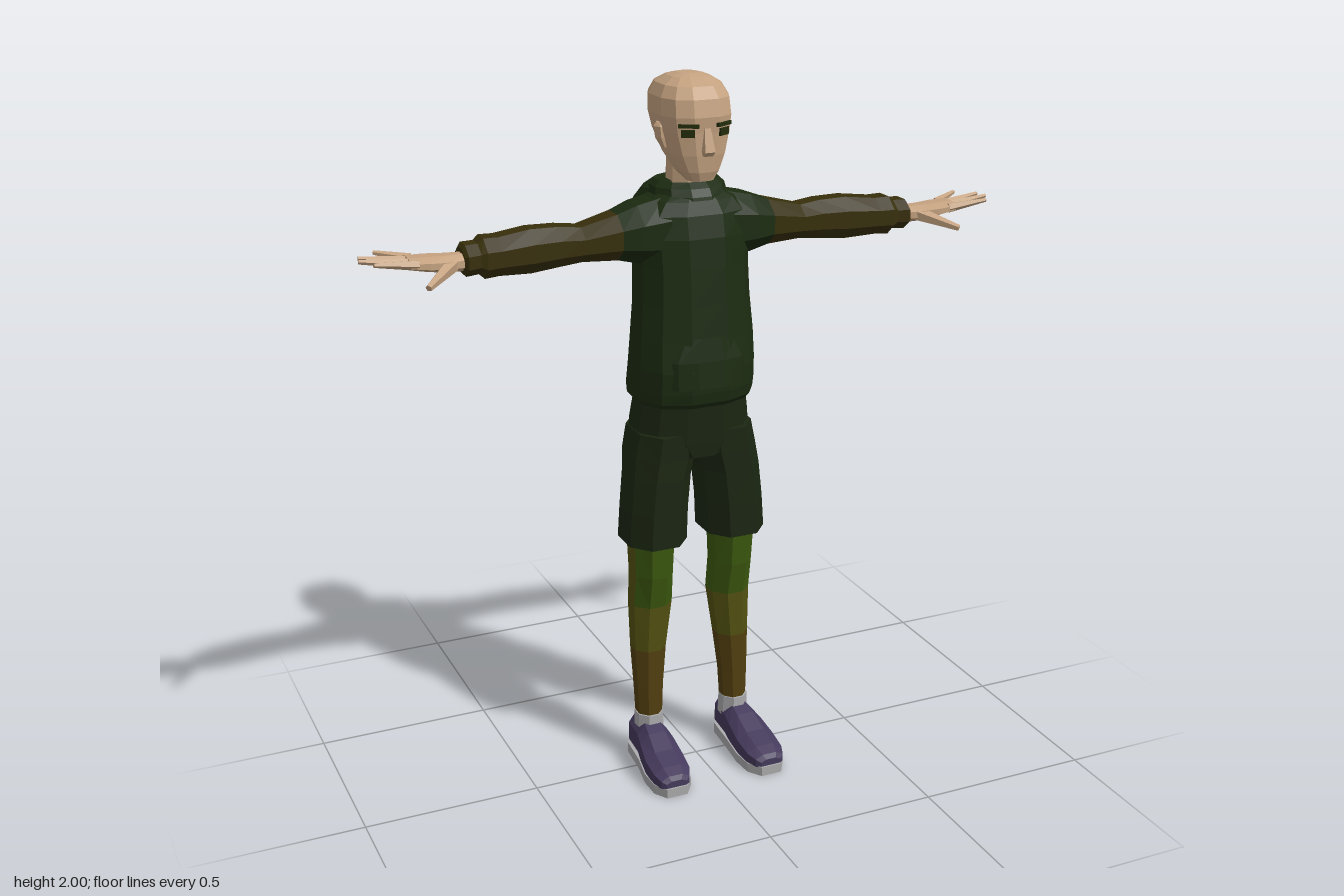
import * as THREE from 'three';

const mat = (name, color) => Object.assign(new THREE.MeshStandardMaterial({ color }), { name });

// Faceted loft. Each section is [t, u0, u1, v0, v1], the bounds of a ring at t.
// Axis x: u = y, v = z. Axis y: u = z, v = x. Axis z: u = x, v = y.
// pick(section, side) may choose a material index for each side face.
function loft(axis, sections, n = 8, power = 1, pick = null) {
  const place = {
    x: (t, u, v) => [t, u, v],
    y: (t, u, v) => [v, t, u],
    z: (t, u, v) => [u, v, t],
  }[axis];
  const bend = (c) => Math.sign(c) * Math.abs(c) ** power;
  const max = bend(Math.cos(Math.PI / n));
  const rings = sections.map(([t, u0, u1, v0, v1]) =>
    Array.from({ length: n }, (_, j) => {
      const a = ((j + 0.5) / n) * Math.PI * 2;
      return place(t,
        (u0 + u1) / 2 + ((u1 - u0) / 2) * bend(Math.cos(a)) / max,
        (v0 + v1) / 2 + ((v1 - v0) / 2) * bend(Math.sin(a)) / max);
    }));
  const pos = [];
  const geo = new THREE.BufferGeometry();
  for (let i = 0; i < rings.length - 1; i++) {
    for (let j = 0; j < n; j++) {
      const k = (j + 1) % n;
      const [a, b, c, d] = [rings[i][j], rings[i][k], rings[i + 1][k], rings[i + 1][j]];
      if (pick) geo.addGroup(pos.length / 3, 6, pick(i, j));
      pos.push(...a, ...b, ...c, ...a, ...c, ...d);
    }
  }
  const last = rings[rings.length - 1];
  if (pick) geo.addGroup(pos.length / 3, (n - 2) * 6, 0);
  for (let j = 1; j < n - 1; j++) {
    pos.push(...rings[0][0], ...rings[0][j + 1], ...rings[0][j]);
    pos.push(...last[0], ...last[j], ...last[j + 1]);
  }
  geo.setAttribute('position', new THREE.Float32BufferAttribute(pos, 3));
  geo.computeVertexNormals();
  return geo;
}

// Tapered five-sided finger between two points
function finger(from, to, r0, r1) {
  const a = new THREE.Vector3(...from), b = new THREE.Vector3(...to);
  const dir = b.clone().sub(a);
  const g = new THREE.CylinderGeometry(r1, r0, dir.length(), 5).toNonIndexed();
  g.applyQuaternion(new THREE.Quaternion().setFromUnitVectors(new THREE.Vector3(0, 1, 0), dir.normalize()));
  g.translate(...a.add(b).multiplyScalar(0.5).toArray());
  g.computeVertexNormals();
  return g;
}

// Copy of a geometry on the other side of the body, with its corners reordered
function mirrored(geo) {
  const g = (geo.index ? geo.toNonIndexed() : geo.clone()).scale(-1, 1, 1);
  const p = g.attributes.position;
  for (let i = 0; i < p.count; i += 3) {
    const b = [p.getX(i + 1), p.getY(i + 1), p.getZ(i + 1)];
    p.setXYZ(i + 1, p.getX(i + 2), p.getY(i + 2), p.getZ(i + 2));
    p.setXYZ(i + 2, ...b);
  }
  g.computeVertexNormals();
  return g;
}

export function createModel() {
  const skin = mat('skin', 0xc4a280);
  const hoodie = mat('hoodie green', 0x1c2b11);
  const cloth = mat('shorts green', 0x1b2612);
  const sleeve = mat('sleeve brown', 0x372f0b);
  const legGreen = mat('leg green', 0x3c590f);
  const legOlive = mat('leg olive', 0x535212);
  const legBrown = mat('leg brown', 0x523f10);
  const purple = mat('shoe purple', 0x453a5c);
  const pale = mat('pale grey', 0xaaa9ab);
  const eyeDark = mat('eye green', 0x222d0c);

  const model = new THREE.Group();
  model.name = 'figure';
  const add = (name, geo, material) => {
    const mesh = new THREE.Mesh(geo, material);
    mesh.name = name;
    model.add(mesh);
  };
  const pair = (name, geo, material) => {
    add('left' + name, geo, material);
    add('right' + name, mirrored(geo), material);
  };
  // Section symmetric in x: height, back, front, half width
  const sym = (rows) => rows.map(([y, b, f, w]) => [y, b, f, -w, w]);

  // Head and neck
  add('head', loft('y', sym([
    [1.73, -0.01, 0.055, 0.035], [1.755, -0.06, 0.064, 0.054], [1.80, -0.105, 0.069, 0.076],
    [1.86, -0.145, 0.071, 0.093], [1.90, -0.165, 0.075, 0.099], [1.945, -0.168, 0.066, 0.096],
    [1.975, -0.15, 0.043, 0.08], [1.993, -0.115, 0.005, 0.052], [2.0, -0.085, -0.025, 0.025],
  ]), 12, 0.75), skin);
  add('neck', loft('y', sym([[1.64, -0.12, 0.0, 0.055], [1.78, -0.115, -0.005, 0.05]])), skin);
  add('nose', loft('y', sym([
    [1.80, 0.05, 0.08, 0.012], [1.812, 0.05, 0.092, 0.015], [1.872, 0.05, 0.076, 0.008],
  ]), 4), skin);
  pair('Ear', loft('y', [
    [1.815, -0.03, -0.008, 0.07, 0.09], [1.84, -0.04, -0.004, 0.07, 0.104],
    [1.87, -0.045, -0.004, 0.07, 0.108], [1.882, -0.038, -0.012, 0.07, 0.1],
  ], 6), skin);

  // Eyes and brows
  for (const [name, y, w, h, z] of [['Eye', 1.86, 0.036, 0.02, 0.0625], ['Brow', 1.88, 0.054, 0.01, 0.066]]) {
    pair(name, new THREE.BoxGeometry(w, h, 0.009).rotateY(0.53).translate(0.05, y, z), eyeDark);
  }

  // Hooded top
  add('torso', loft('y', sym([
    [1.115, -0.165, 0.085, 0.158], [1.13, -0.182, 0.098, 0.17], [1.16, -0.187, 0.104, 0.172],
    [1.22, -0.172, 0.106, 0.17], [1.30, -0.155, 0.095, 0.166], [1.40, -0.153, 0.087, 0.157],
    [1.50, -0.157, 0.08, 0.154], [1.58, -0.16, 0.073, 0.158], [1.64, -0.155, 0.06, 0.158],
    [1.675, -0.145, 0.045, 0.125], [1.69, -0.135, 0.03, 0.095],
  ]), 12, 0.85), hoodie);
  add('pocket', loft('y', sym([
    [1.175, -0.02, 0.112, 0.122], [1.25, -0.02, 0.108, 0.122], [1.315, -0.02, 0.1, 0.085],
  ]), 12, 0.85), hoodie);
  add('collar', loft('y', sym([
    [1.65, -0.17, 0.05, 0.11], [1.685, -0.165, 0.042, 0.104], [1.705, -0.155, 0.028, 0.1],
    [1.72, -0.14, 0.008, 0.086], [1.712, -0.125, 0.0, 0.066], [1.69, -0.122, 0.0, 0.06],
  ]), 12), hoodie);
  add('hood', loft('y', sym([
    [1.525, -0.165, -0.12, 0.045], [1.56, -0.192, -0.1, 0.095], [1.61, -0.204, -0.08, 0.126],
    [1.66, -0.192, -0.05, 0.128], [1.695, -0.168, -0.03, 0.108], [1.718, -0.14, -0.03, 0.08],
  ]), 10), hoodie);

  // Sleeves with a gathered cuff
  pair('Shoulder', loft('x', [
    [0.09, 1.5, 1.685, -0.135, 0.05], [0.165, 1.512, 1.668, -0.135, 0.045],
    [0.22, 1.525, 1.648, -0.118, 0.032],
  ]), hoodie);
  pair('Sleeve', loft('x', [
    [0.22, 1.525, 1.648, -0.118, 0.032], [0.32, 1.53, 1.623, -0.1, 0.018],
    [0.38, 1.523, 1.63, -0.103, 0.015], [0.46, 1.515, 1.632, -0.102, 0.018],
    [0.55, 1.52, 1.622, -0.092, 0.026], [0.59, 1.518, 1.624, -0.088, 0.032],
    [0.605, 1.532, 1.612, -0.078, 0.026], [0.64, 1.53, 1.612, -0.075, 0.032],
    [0.648, 1.54, 1.602, -0.062, 0.022],
  ]), sleeve);

  // Hands
  pair('Palm', loft('x', [
    [0.63, 1.545, 1.59, -0.045, 0.015], [0.69, 1.548, 1.592, -0.05, 0.028],
    [0.74, 1.555, 1.594, -0.062, 0.034], [0.79, 1.565, 1.595, -0.06, 0.032],
  ]), skin);
  [[-0.048, 0.855, -0.09], [-0.023, 0.905, -0.046], [0.001, 0.912, -0.012], [0.022, 0.885, 0.035]]
    .forEach(([z, tipX, tipZ], i) =>
      pair('Finger' + (i + 1), finger([0.77, 1.58, z], [tipX, 1.595, tipZ], 0.014, 0.006), skin));
  pair('Thumb', finger([0.68, 1.568, 0.01], [0.765, 1.537, 0.092], 0.021, 0.009), skin);

  // Shorts
  add('shortsHips', loft('y', sym([
    [0.96, -0.16, 0.058, 0.1], [1.0, -0.168, 0.062, 0.168], [1.06, -0.168, 0.064, 0.163],
    [1.14, -0.155, 0.066, 0.152],
  ]), 12, 0.85), cloth);
  pair('ShortsLeg', loft('y', [
    [0.70, -0.125, 0.055, 0.045, 0.196], [0.705, -0.135, 0.065, 0.034, 0.206],
    [0.80, -0.133, 0.063, 0.03, 0.2], [0.90, -0.137, 0.062, 0.02, 0.19],
    [0.96, -0.16, 0.06, 0.004, 0.182], [1.03, -0.165, 0.06, 0.0, 0.168],
  ], 8, 0.85), cloth);

  // Lower legs: green above, olive on the outer side and calf, brown at the ankle
  pair('LowerLeg', loft('y', [
    [0.13, -0.075, 0.0, 0.1, 0.17], [0.24, -0.083, 0.0, 0.095, 0.174],
    [0.36, -0.1, 0.0, 0.083, 0.178], [0.50, -0.112, 0.006, 0.064, 0.18],
    [0.60, -0.108, 0.028, 0.067, 0.18], [0.74, -0.115, 0.04, 0.062, 0.186],
  ], 8, 1, (i, j) => (i < 2 ? 2 : i < 3 || j === 1 || j === 2 ? 1 : 0)),
  [legGreen, legOlive, legBrown]);

  // Socks, shoes and soles
  pair('Sock', loft('y', [[0.09, -0.083, 0.008, 0.096, 0.174], [0.155, -0.08, 0.006, 0.098, 0.174]]), pale);
  pair('Shoe', loft('z', [
    [-0.105, 0.11, 0.172, 0.02, 0.105], [-0.085, 0.1, 0.18, 0.015, 0.125],
    [0.0, 0.094, 0.186, 0.015, 0.13], [0.04, 0.09, 0.194, 0.01, 0.117],
    [0.1, 0.088, 0.203, 0.01, 0.09], [0.16, 0.092, 0.202, 0.01, 0.073],
    [0.19, 0.105, 0.192, 0.015, 0.06], [0.2, 0.118, 0.18, 0.02, 0.048],
  ], 8, 0.8), purple);
  pair('Sole', loft('z', [
    [-0.108, 0.112, 0.172, 0, 0.032], [-0.085, 0.098, 0.184, 0, 0.032],
    [0.02, 0.092, 0.192, 0, 0.03], [0.1, 0.085, 0.206, 0, 0.028],
    [0.165, 0.09, 0.204, 0, 0.028], [0.205, 0.118, 0.18, 0, 0.028],
  ], 4), pale);

  return model;
}
